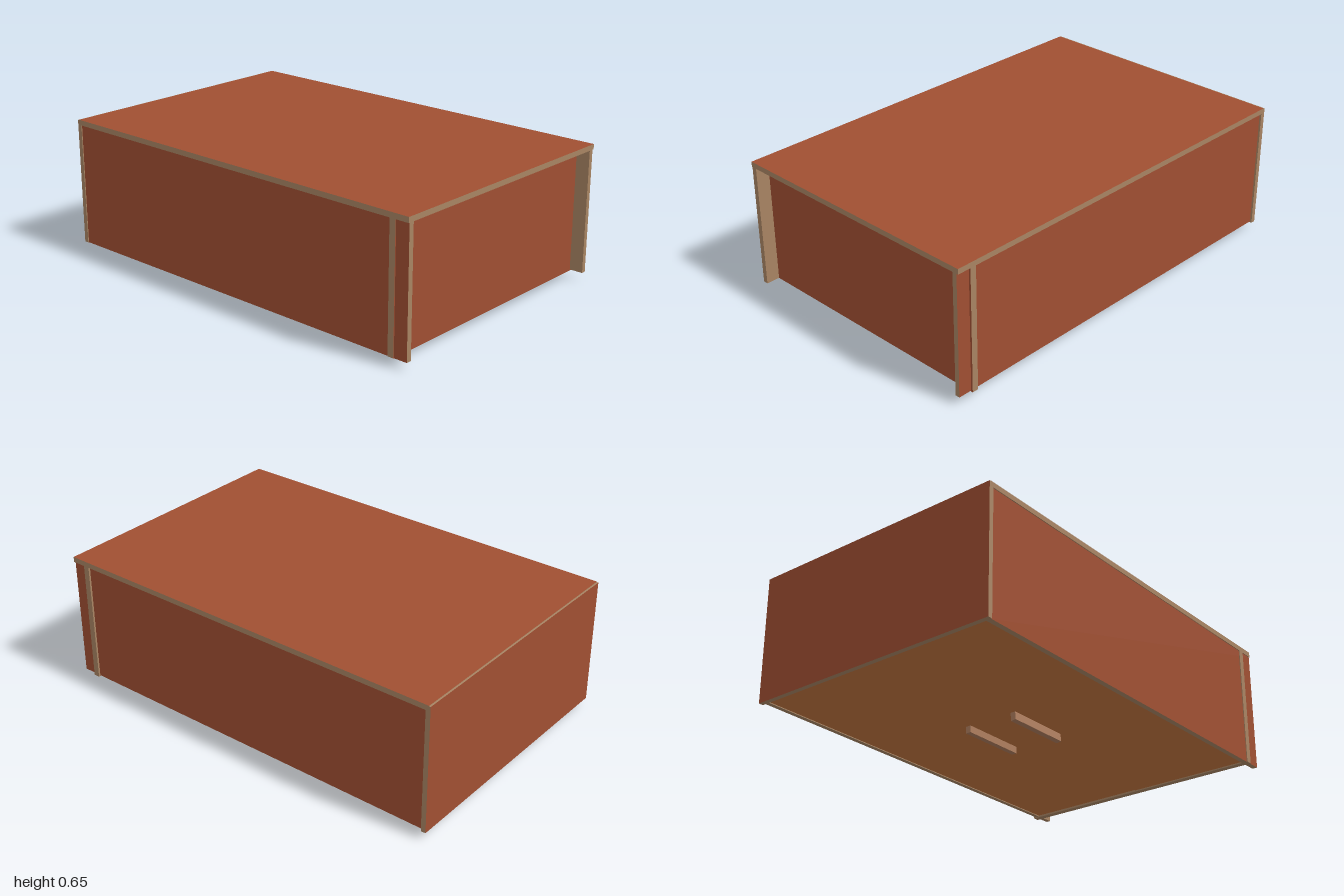
import * as THREE from 'three';

const mat = (name, color) => {
  const m = new THREE.MeshStandardMaterial({ color });
  m.name = name;
  return m;
};

// Box face order, used to pick the veneered side of a board
const PX = 0, NX = 1, PY = 2, NY = 3, PZ = 4, NZ = 5;

// A cabinet lying on its doors: the plinth end faces +z.
export function createModel() {
  const group = new THREE.Group();
  group.name = 'cabinet';
  const red = mat('redWood', 0xa04f32);
  const edge = mat('bareBoard', 0xa88463);
  const brown = mat('doorBrown', 0xc1743e);
  const grip = mat('handleWood', 0xad7c5c);

  // Box from min/max corners; only its outer side is veneered, the rest is bare board
  function board(name, [x0, x1], [y0, y1], [z0, z1], outer, veneer = red) {
    const geo = new THREE.BoxGeometry(x1 - x0, y1 - y0, z1 - z0);
    const mats = [0, 1, 2, 3, 4, 5].map((side) => (side === outer ? veneer : edge));
    const mesh = new THREE.Mesh(geo, mats);
    mesh.position.set((x0 + x1) / 2, (y0 + y1) / 2, (z0 + z1) / 2);
    mesh.name = name;
    group.add(mesh);
  }

  // Carcass
  board('backPanel', [-0.645, 0.643], [0.62, 0.645], [-0.992, 1], PY);
  board('endPanel', [-0.645, 0.643], [0.035, 0.643], [-1, -0.977], NZ);
  board('rightSide', [-0.641, -0.616], [0.035, 0.62], [-0.977, 1], NX);
  board('leftSide', [0.612, 0.634], [0.04, 0.62], [-0.977, 1], PX);
  board('plinth', [-0.645, 0.643], [0.035, 0.62], [0.904, 0.934], PZ);

  // Pair of doors with a narrow gap between them
  board('rightDoor', [-0.614, -0.002], [0.04, 0.065], [-0.975, 0.902], NY, brown);
  board('leftDoor', [0.002, 0.61], [0.043, 0.068], [-0.975, 0.902], NY, brown);

  // Bar handles, the right one slightly tilted
  for (const [name, x, y, tilt] of [['rightHandle', -0.143, 0.001, -0.1], ['leftHandle', 0.115, 0.01, 0]]) {
    const h = 0.042 - y;
    const handle = new THREE.Mesh(new THREE.BoxGeometry(0.026, h, 0.325), grip);
    handle.position.set(x, y + h / 2, -0.073);
    handle.rotation.z = tilt;
    handle.name = name;
    group.add(handle);
  }
  return group;
}
